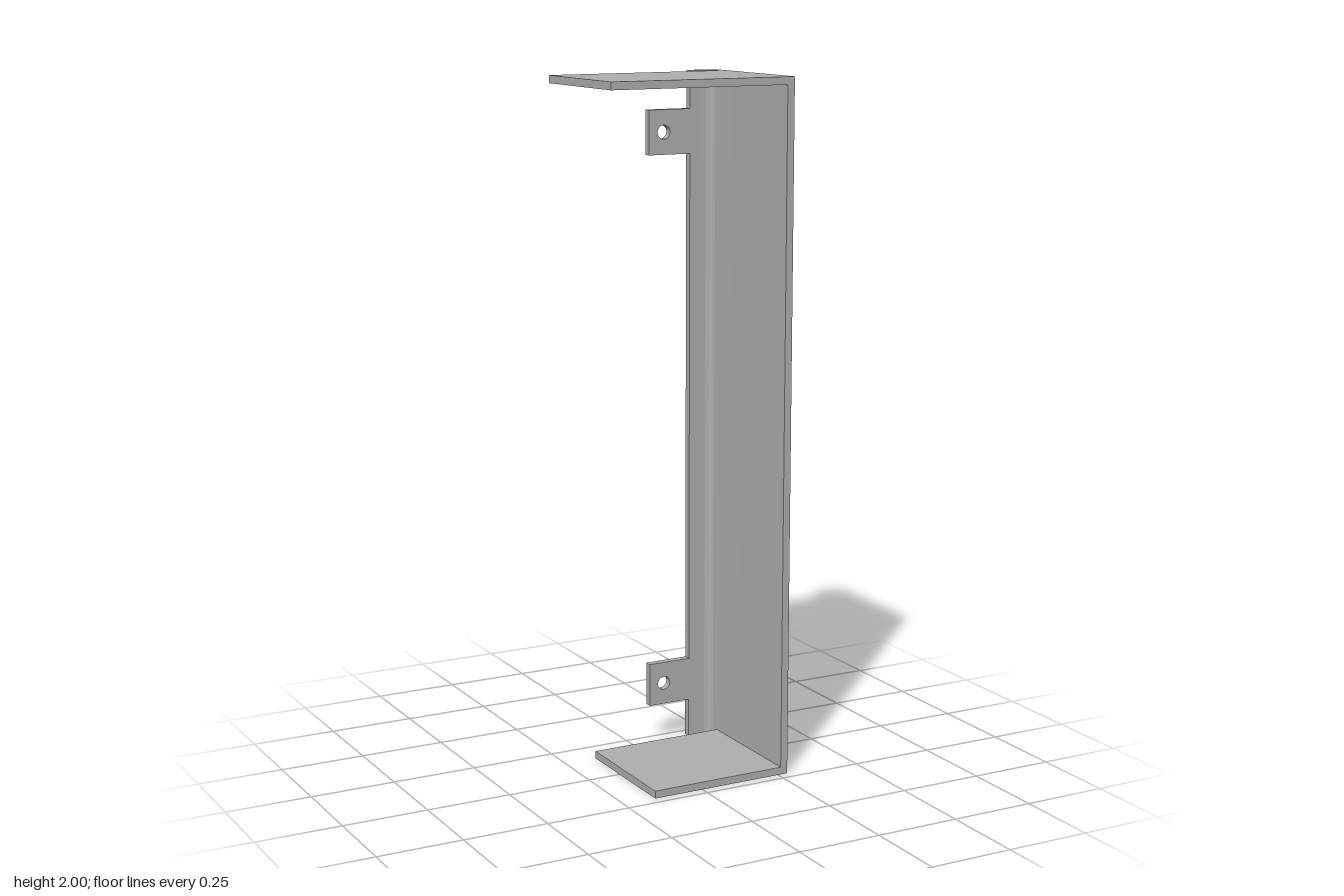
import * as THREE from 'three';
import { toCreasedNormals } from 'three/addons/utils/BufferGeometryUtils.js';

const T = 0.022; // sheet thickness
const X = 0.281, Z = 0.221, H = 2; // half width, half depth, height
const R = 0.043; // outer bend radius
const FLANGE_X = 0.186; // free edge of the back flange

export function createModel() {
  const group = new THREE.Group();
  const steel = new THREE.MeshStandardMaterial({ color: 0xb0b0b0 });
  steel.name = 'sheet steel';

  const add = (name, geometry, x, y, z) => {
    const mesh = new THREE.Mesh(geometry, steel);
    mesh.name = name;
    mesh.position.set(x, y, z);
    group.add(mesh);
  };

  // Side wall bent round into the back flange, drawn in plan (shape y = -z)
  const plan = new THREE.Shape();
  plan.moveTo(X, -Z);
  plan.lineTo(X, Z - R);
  plan.absarc(X - R, Z - R, R, 0, Math.PI / 2, false);
  plan.lineTo(FLANGE_X, Z);
  plan.lineTo(FLANGE_X, Z - T);
  plan.lineTo(X - R, Z - T);
  plan.absarc(X - R, Z - R, R - T, Math.PI / 2, 0, true);
  plan.lineTo(X - T, -Z);
  plan.closePath();
  const wall = new THREE.ExtrudeGeometry(plan, { depth: H, bevelEnabled: false, curveSegments: 16 });
  wall.rotateX(-Math.PI / 2);
  add('sideWallAndFlange', toCreasedNormals(wall, 0.6), 0, 0, 0);

  // Top and bottom plates, set clear of the back flange
  const zBack = -0.155, depth = Z - zBack;
  const plate = (name, left, y) => {
    const w = X - T - left;
    add(name, new THREE.BoxGeometry(w, T, depth), left + w / 2, y, zBack + depth / 2);
  };
  plate('topPlate', -X, H - T / 2);
  plate('bottomPlate', -0.152, T / 2);

  // Mounting tabs with a screw hole
  const tabLeft = 0.053, tabH = 0.129;
  const tab = new THREE.Shape();
  tab.moveTo(tabLeft, -tabH / 2);
  tab.lineTo(FLANGE_X, -tabH / 2);
  tab.lineTo(FLANGE_X, tabH / 2);
  tab.lineTo(tabLeft, tabH / 2);
  tab.closePath();
  const hole = new THREE.Path();
  hole.absarc(0.101, 0, 0.02, 0, Math.PI * 2, true);
  tab.holes.push(hole);
  const tabGeometry = toCreasedNormals(
    new THREE.ExtrudeGeometry(tab, { depth: T, bevelEnabled: false, curveSegments: 24 }), 0.6);
  add('upperTab', tabGeometry, 0, 1.827, -Z);
  add('lowerTab', tabGeometry, 0, 0.181, -Z);

  return group;
}
